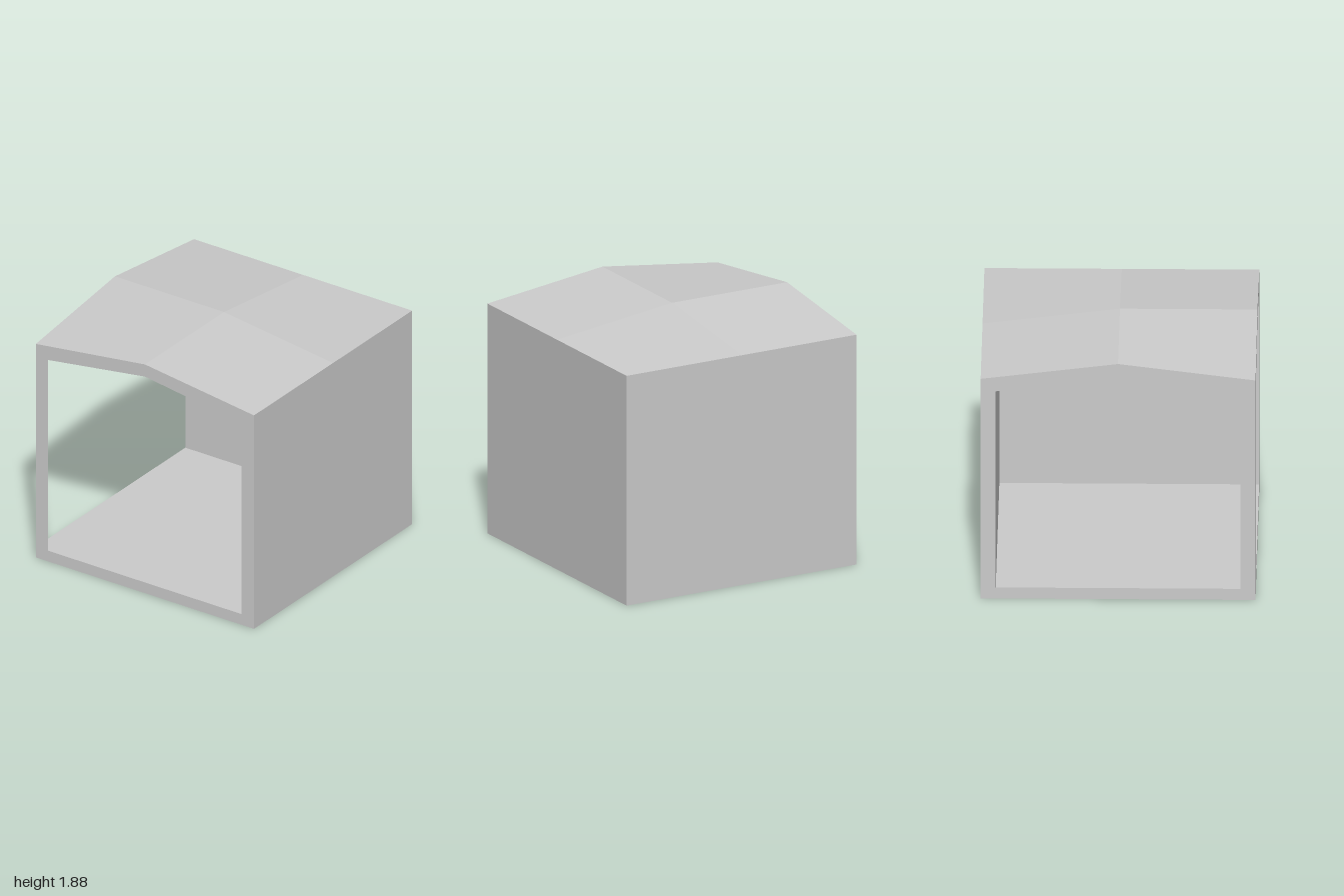
import * as THREE from 'three';

// Half sizes of the shell and its cavity, and the main heights
const W = 1, D = 0.97, w = 0.89, d = 0.86;
const EAVE = 1.755, RIDGE = 1.88, FLOOR = 0.088, CEIL = 1.656, CEIL_MID = 1.78;

const material = new THREE.MeshStandardMaterial({ color: 0xcccccc, side: THREE.DoubleSide });

// Flat panels from polygons; each polygon gets one averaged normal
function panel(name, ...polys) {
  const pos = [], nor = [];
  for (const poly of polys) {
    const p = poly.map((c) => new THREE.Vector3(...c));
    const n = new THREE.Vector3();
    p.forEach((a, i) => n.add(a.clone().cross(p[(i + 1) % p.length])));
    n.normalize();
    for (let i = 1; i < p.length - 1; i++) {
      for (const v of [p[0], p[i], p[i + 1]]) {
        pos.push(v.x, v.y, v.z);
        nor.push(n.x, n.y, n.z);
      }
    }
  }
  const g = new THREE.BufferGeometry();
  g.setAttribute('position', new THREE.Float32BufferAttribute(pos, 3));
  g.setAttribute('normal', new THREE.Float32BufferAttribute(nor, 3));
  const mesh = new THREE.Mesh(g, material);
  mesh.name = name;
  return mesh;
}

// Gabled frame around an open side
function openFrame(name, half, innerHalf) {
  const gable = (h, base, side, mid) =>
    [[-h, base], [h, base], [h, side], [0, mid], [-h, side]].map((p) => new THREE.Vector2(...p));
  const shape = new THREE.Shape(gable(half, 0, EAVE, RIDGE));
  shape.holes.push(new THREE.Path(gable(innerHalf, FLOOR, CEIL, CEIL_MID)));
  const mesh = new THREE.Mesh(new THREE.ShapeGeometry(shape), material);
  mesh.name = name;
  return mesh;
}

// 2 x 2 roof patches, raised at the centre and towards both open sides
function roofPatches(xs, zs, low, high) {
  const raised = (i, j) => (i === 1 && j < 2) || (j === 1 && i < 2);
  const at = (i, j) => [xs[i], raised(i, j) ? high : low, zs[j]];
  const patches = [];
  for (let i = 0; i < 2; i++)
    for (let j = 0; j < 2; j++)
      patches.push([at(i, j), at(i, j + 1), at(i + 1, j + 1), at(i + 1, j)]);
  return patches;
}

export function createModel() {
  const group = new THREE.Group();
  group.name = 'openShelter';

  // Outer shell
  group.add(
    panel('roof', ...roofPatches([-W, 0, W], [-D, 0, D], EAVE, RIDGE)),
    panel('frontWall', [[-W, 0, D], [W, 0, D], [W, EAVE, D], [-W, EAVE, D]]),
    panel('sideWall', [[W, 0, D], [W, 0, -D], [W, EAVE, -D], [W, EAVE, D]]),
    panel('base', [[-W, 0, -D], [W, 0, -D], [W, 0, D], [-W, 0, D]]),
  );

  // Frames of the two open sides
  const backFrame = openFrame('backFrame', W, w);
  backFrame.rotation.y = Math.PI;
  backFrame.position.z = -D;
  const sideFrame = openFrame('sideFrame', D, d);
  sideFrame.rotation.y = -Math.PI / 2;
  sideFrame.position.x = -W;
  group.add(backFrame, sideFrame);

  // Interior; the corner patch of the ceiling is cut off by the post
  const ceiling = roofPatches([-W, 0, w], [-D, 0, d], CEIL, CEIL_MID);
  ceiling[0].splice(0, 1, [-w, CEIL, -D], [-W, CEIL, -d]);
  group.add(
    panel('ceiling', ...ceiling.map((p) => p.reverse())),
    panel('floor', [[-W, FLOOR, -d], [-W, FLOOR, d], [w, FLOOR, d], [w, FLOOR, -D], [-w, FLOOR, -D]]),
    panel('frontInnerWall', [[w, FLOOR, d], [-W, FLOOR, d], [-W, CEIL, d], [w, CEIL, d]]),
    panel('sideInnerWall', [[w, FLOOR, -D], [w, FLOOR, d], [w, CEIL, d], [w, CEIL, -D]]),
    panel('cornerPostInside', [[-W, FLOOR, -d], [-w, FLOOR, -D], [-w, CEIL, -D], [-W, CEIL, -d]]),
  );
  return group;
}
